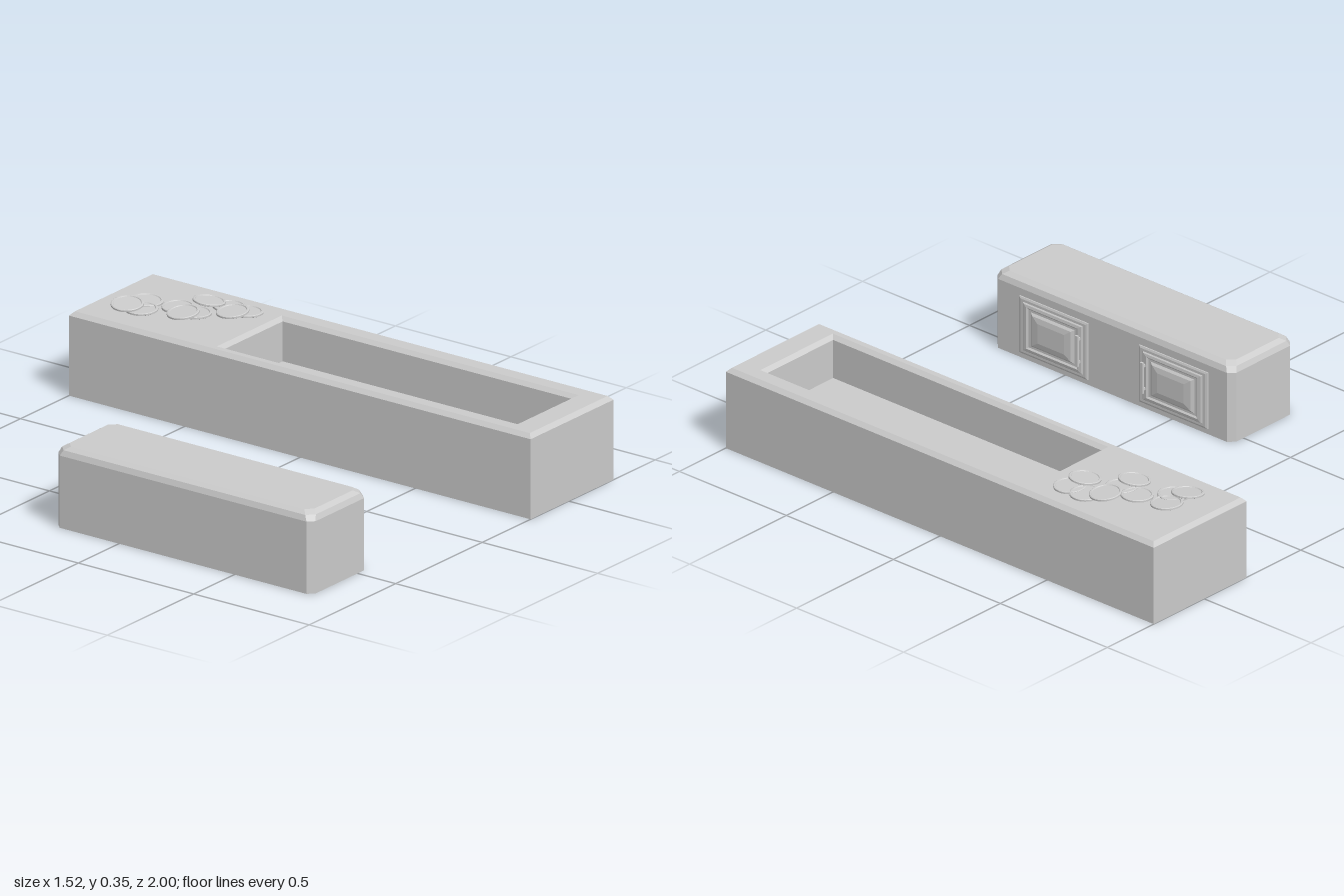
import * as THREE from 'three';

const material = new THREE.MeshStandardMaterial({ color: 0xcccccc, flatShading: true });

// Rectangular ring at height y, optionally with corners cut by c
function ring(y, x0, x1, z0, z1, c = 0) {
  const p = c
    ? [[x1 - c, z1], [x1, z1 - c], [x1, z0 + c], [x1 - c, z0], [x0 + c, z0], [x0, z0 + c], [x0, z1 - c], [x0 + c, z1]]
    : [[x1, z1], [x1, z0], [x0, z0], [x0, z1]];
  return p.map(([x, z]) => [x, y, z]);
}

// Skin a stack of rings and close the first and last
function loft(rings) {
  const v = [];
  const tri = (a, b, c) => v.push(...a, ...b, ...c);
  const n = rings[0].length;
  for (let k = 0; k < rings.length - 1; k++) {
    const a = rings[k], b = rings[k + 1];
    for (let i = 0; i < n; i++) {
      const j = (i + 1) % n;
      tri(a[i], a[j], b[j]);
      tri(a[i], b[j], b[i]);
    }
  }
  const s = rings[0], e = rings[rings.length - 1];
  for (let i = 1; i < n - 1; i++) {
    tri(s[0], s[i + 1], s[i]);
    tri(e[0], e[i], e[i + 1]);
  }
  const g = new THREE.BufferGeometry();
  g.setAttribute('position', new THREE.Float32BufferAttribute(v, 3));
  g.computeVertexNormals();
  return g;
}

function add(parent, name, geometry, mat = material) {
  const m = new THREE.Mesh(geometry, mat);
  m.name = name;
  parent.add(m);
  return m;
}

export function createModel() {
  const model = new THREE.Group();
  model.name = 'counterSet';

  // Long counter with a bevelled top edge and a sunken tray
  const counter = new THREE.Group();
  counter.name = 'counter';
  model.add(counter);
  add(counter, 'counterBody', loft([
    ring(0, 0.28, 0.76, -1, 1),
    ring(0.297, 0.28, 0.76, -1, 1),
    ring(0.312, 0.295, 0.745, -0.985, 0.985),
    ring(0.312, 0.317, 0.692, -0.387, 0.9),
    ring(0.298, 0.332, 0.677, -0.372, 0.885),
    ring(0.15, 0.332, 0.677, -0.372, 0.885),
  ]));

  // Scattered coins: x, height, z, tilt about x, tilt about z
  const coinGeometry = new THREE.LatheGeometry([
    [0, 0], [0.054, 0], [0.058, 0.002], [0.058, 0.008], [0.055, 0.01],
    [0.05, 0.01], [0.048, 0.007], [0, 0.007],
  ].map(([x, y]) => new THREE.Vector2(x, y)), 28);
  const coinMaterial = material.clone();
  coinMaterial.side = THREE.DoubleSide;
  const coins = new THREE.Group();
  coins.name = 'coins';
  counter.add(coins);
  [
    [0.51, 0.316, -0.835, 0.06, 0],
    [0.44, 0.313, -0.805, 0, 0.03],
    [0.42, 0.328, -0.852, 0.05, 0.12],
    [0.53, 0.314, -0.715, 0, 0.03],
    [0.52, 0.314, -0.632, 0, 0],
    [0.47, 0.328, -0.647, -0.05, 0.13],
    [0.64, 0.314, -0.575, 0, -0.03],
    [0.612, 0.328, -0.642, 0.07, -0.1],
    [0.635, 0.314, -0.495, 0, -0.03],
    [0.577, 0.329, -0.513, -0.05, 0.1],
  ].forEach(([x, y, z, rx, rz]) => {
    const coin = add(coins, 'coin', coinGeometry, coinMaterial);
    coin.position.set(x, y, z);
    coin.rotation.set(rx, 0, rz);
  });

  // Low cabinet with cut corners and a bevelled top
  const cabinet = new THREE.Group();
  cabinet.name = 'cabinet';
  model.add(cabinet);
  add(cabinet, 'cabinetBody', loft([
    ring(0, -0.765, -0.44, -0.28, 0.835, 0.023),
    ring(0.268, -0.765, -0.44, -0.28, 0.835, 0.023),
    ring(0.288, -0.757, -0.448, -0.272, 0.827, 0.026),
    ring(0.3, -0.738, -0.467, -0.253, 0.808, 0.025),
  ]));

  // Two mirrored doors, stepped mouldings around a raised field
  const doorGeometry = loft([
    [-0.002, 0.11, 0.16], [0.004, 0.11, 0.16], [0.007, 0.103, 0.152],
    [0.007, 0.094, 0.14], [0.011, 0.09, 0.134], [0.013, 0.08, 0.12],
    [0.008, 0.074, 0.112], [0.008, 0.066, 0.102], [0.015, 0.058, 0.09],
    [0.019, 0.038, 0.062],
  ].map(([y, h, w]) => ring(y, -h, h, -w, w)));
  [[-0.01, 1], [0.55, -1]].forEach(([z, side]) => {
    const door = new THREE.Group();
    door.name = 'door';
    door.position.set(-0.44, 0.13, z);
    cabinet.add(door);
    add(door, 'doorPanel', doorGeometry).rotation.z = -Math.PI / 2;

    // Slim upright handle on two short posts
    const bar = add(door, 'handleBar', new THREE.BoxGeometry(0.008, 0.12, 0.012));
    bar.position.set(0.025, 0, side * 0.128);
    for (const y of [-0.045, 0.045]) {
      const post = add(door, 'handlePost', new THREE.BoxGeometry(0.02, 0.01, 0.01));
      post.position.set(0.014, y, side * 0.128);
    }
  });

  return model;
}
